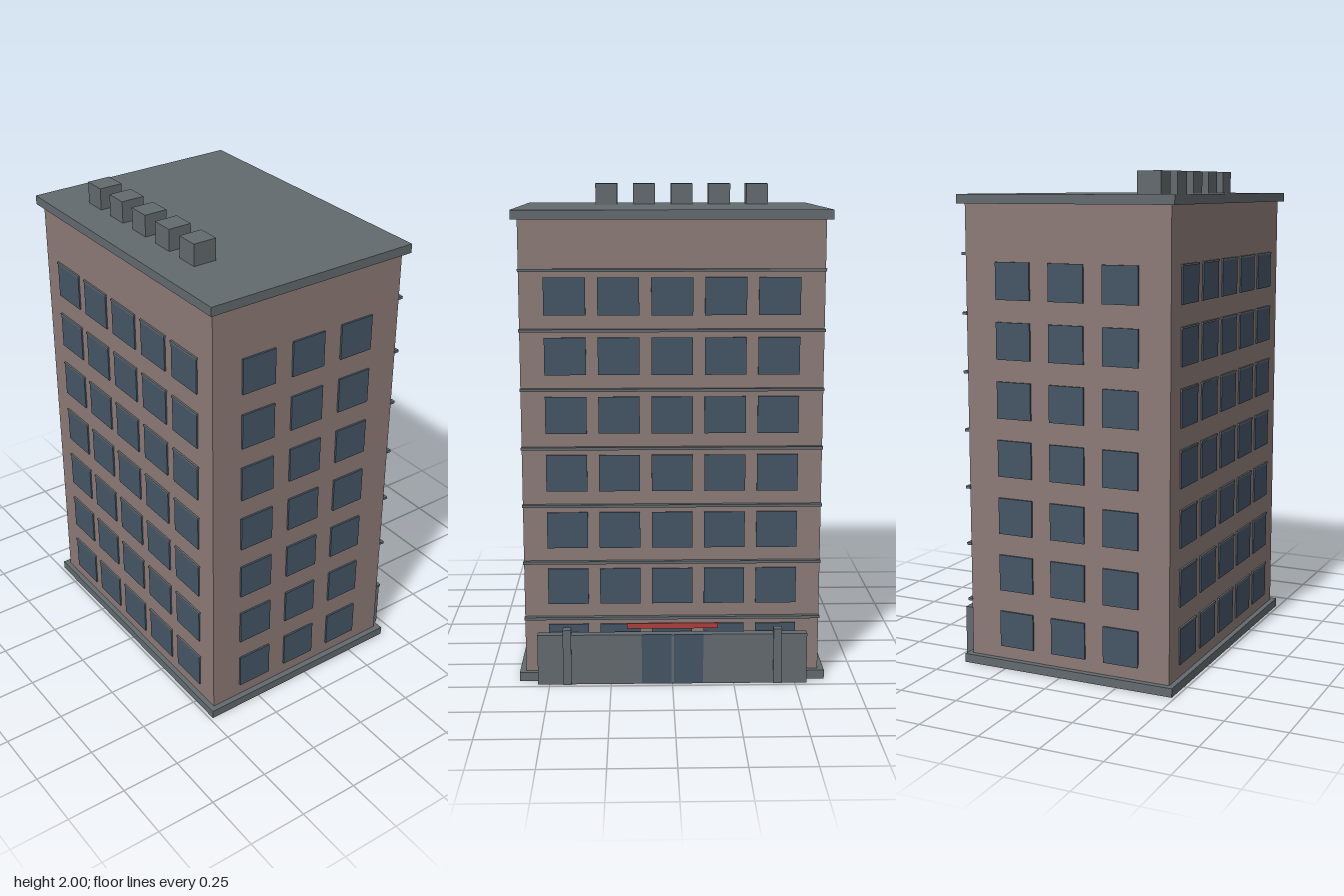
import * as THREE from 'three';

const mat = (name, color) => {
  const m = new THREE.MeshStandardMaterial({ color });
  m.name = name;
  return m;
};

export function createModel() {
  const brick = mat('brick', 0x8d7b77);
  const concrete = mat('concrete', 0x636a6e);
  const glass = mat('glass', 0x455666);
  const red = mat('red', 0xb0403e);

  const model = new THREE.Group();
  model.name = 'apartmentBlock';

  // Box from its minimum and maximum corners
  const box = (name, material, [x0, y0, z0], [x1, y1, z1], parent = model) => {
    const mesh = new THREE.Mesh(new THREE.BoxGeometry(x1 - x0, y1 - y0, z1 - z0), material);
    mesh.position.set((x0 + x1) / 2, (y0 + y1) / 2, (z0 + z1) / 2);
    mesh.name = name;
    parent.add(mesh);
  };
  const group = (name) => {
    const g = new THREE.Group();
    g.name = name;
    model.add(g);
    return g;
  };

  const W = 0.6, front = 0.465, back = -0.415;

  // Main mass with base and roof slabs
  box('walls', brick, [-W, 0.02, back], [W, 1.89, front]);
  box('baseSlab', concrete, [-0.625, 0, -0.439], [0.625, 0.036, 0.487]);
  box('roofSlab', concrete, [-0.625, 1.874, -0.439], [0.625, 1.911, 0.487]);

  // Row of roof units
  const units = group('roofUnits');
  for (let i = 0; i < 5; i++) {
    const x = -0.385 + i * 0.164;
    box('roofUnit', concrete, [x - 0.047, 1.911, 0.25], [x + 0.047, 2, 0.348], units);
  }

  // Seven storeys of windows, with lintels in front and ledges behind
  const windows = group('windows');
  const trim = group('ledges');
  for (let floor = 0; floor < 7; floor++) {
    const y = 0.162 + floor * 0.2357, y0 = y - 0.074, y1 = y + 0.074;
    for (let i = -2; i <= 2; i++) {
      const x = i * 0.211;
      box('frontWindow', glass, [x - 0.082, y0, front - 0.002], [x + 0.082, y1, front + 0.006], windows);
      box('backWindow', glass, [x - 0.082, y0, back - 0.006], [x + 0.082, y1, back + 0.002], windows);
      box('frontLintel', concrete, [x - 0.085, y1 - 0.004, front - 0.002], [x + 0.085, y1 + 0.004, front + 0.008], trim);
    }
    for (const z of [0.259, 0.028, -0.204])
      for (const s of [-1, 1]) {
        const x = s * (W + 0.003);
        box('sideWindow', glass, [x - 0.005, y0, z - 0.075], [x + 0.005, y1, z + 0.075], windows);
      }
    box('backLedge', concrete, [-W - 0.002, y + 0.097, back - 0.019], [W + 0.002, y + 0.108, back + 0.002], trim);
  }

  // Entrance wall with posts, doors and a red sign
  const entrance = group('entrance');
  box('entranceWall', concrete, [-0.548, 0, -0.479], [0.548, 0.21, -0.441], entrance);
  for (const s of [-1, 1]) {
    box('post', concrete, [s * 0.428 - 0.017, 0, -0.485], [s * 0.428 + 0.017, 0.232, -0.448], entrance);
    box('door', glass, [s * 0.065 - 0.06, 0.004, -0.484], [s * 0.065 + 0.06, 0.212, -0.477], entrance);
  }
  box('doorDivider', concrete, [-0.005, 0.004, -0.487], [0.005, 0.212, -0.477], entrance);
  box('sign', red, [-0.185, 0.238, -0.484], [0.185, 0.26, -0.476], entrance);

  return model;
}
